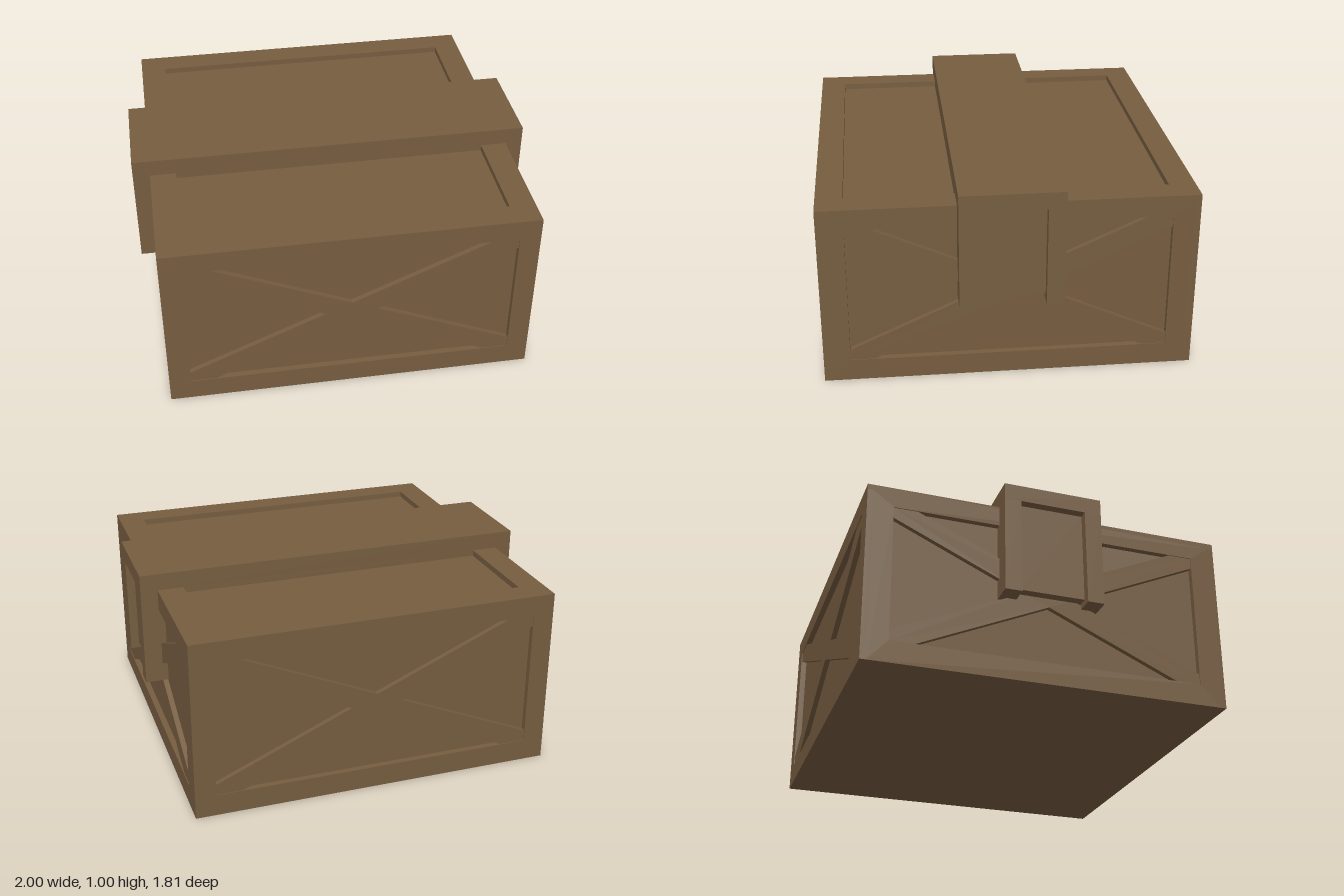
import * as THREE from 'three';

const X = 0.915, Z = 0.905, H = 0.915; // outer half-width, half-depth and height
const D = 0.03;                        // depth of the recessed panels

export function createModel() {
  const model = new THREE.Group();
  model.name = 'crate';
  const wood = new THREE.MeshStandardMaterial({ color: 0x765d40 });
  wood.name = 'brown wood';

  const add = (parent, name, geometry, x = 0, y = 0, z = 0) => {
    const mesh = new THREE.Mesh(geometry, wood);
    mesh.name = name;
    mesh.position.set(x, y, z);
    parent.add(mesh);
    return mesh;
  };
  const box = (parent, name, x0, x1, y0, y1, z0, z1) =>
    add(parent, name, new THREE.BoxGeometry(x1 - x0, y1 - y0, z1 - z0),
      (x0 + x1) / 2, (y0 + y1) / 2, (z0 + z1) / 2);
  const rect = (Type, w, y0, y1) => new Type([[-w, y0], [w, y0], [w, y1], [-w, y1]]
    .map(p => new THREE.Vector2(...p)));
  const extrude = (shape, depth) =>
    new THREE.ExtrudeGeometry(shape, { depth, bevelEnabled: false });

  // Solid core whose faces are the recessed panels
  box(model, 'core', -X + D, X - D, 0, H - D, -Z + D, Z - D);

  // Rim around the top panel
  const rim = rect(THREE.Shape, X, -Z, Z);
  rim.holes.push(rect(THREE.Path, 0.785, -0.775, 0.775));
  add(model, 'topRim', extrude(rim, D), 0, H - D, 0).rotation.x = -Math.PI / 2;

  // One side: rectangular frame with a slightly sunken cross brace
  const makeSide = (name, outer, inner, notch, apex, distance, angle) => {
    const side = new THREE.Group();
    side.name = name;
    const frame = rect(THREE.Shape, outer, 0, H - D);
    frame.holes.push(rect(THREE.Path, inner, 0.11, 0.81));
    add(side, 'frame', extrude(frame, D), 0, 0, distance - D);
    const brace = new THREE.Shape([
      [-inner, 0.11], [-notch, 0.11], [0, 0.405], [notch, 0.11], [inner, 0.11], [inner, 0.165],
      [apex, 0.46], [inner, 0.755], [inner, 0.81], [notch, 0.81], [0, 0.515], [-notch, 0.81],
      [-inner, 0.81], [-inner, 0.755], [-apex, 0.46], [-inner, 0.165],
    ].map(p => new THREE.Vector2(...p)));
    add(side, 'crossBrace', extrude(brace, D - 0.004), 0, 0, distance - D);
    side.rotation.y = angle;
    model.add(side);
  };
  makeSide('frontSide', X, 0.81, 0.68, 0.13, Z, 0);
  makeSide('backSide', X, 0.81, 0.68, 0.13, Z, Math.PI);
  makeSide('leftSide', Z - D, 0.775, 0.655, 0.125, X, Math.PI / 2);
  makeSide('rightSide', Z - D, 0.775, 0.655, 0.125, X, -Math.PI / 2);

  // Band over the top, with two legs and an inset plate at each end
  const band = new THREE.Group();
  band.name = 'band';
  model.add(band);
  box(band, 'bandTop', -1, 1, H, 1, -0.25, 0.25);
  box(band, 'bandFill', -0.8, 0.8, H - D, H, -0.25, 0.25);
  for (const s of [1, -1]) {
    const end = new THREE.Group();
    end.name = s > 0 ? 'leftBandEnd' : 'rightBandEnd';
    end.rotation.y = s > 0 ? 0 : Math.PI;
    band.add(end);
    box(end, 'frontLeg', X - D, 1, 0.42, H, 0.165, 0.25);
    box(end, 'backLeg', X - D, 1, 0.42, H, -0.25, -0.165);
    box(end, 'insetPlate', X - D, 0.957, 0.45, H, -0.165, 0.165);
  }
  return model;
}
